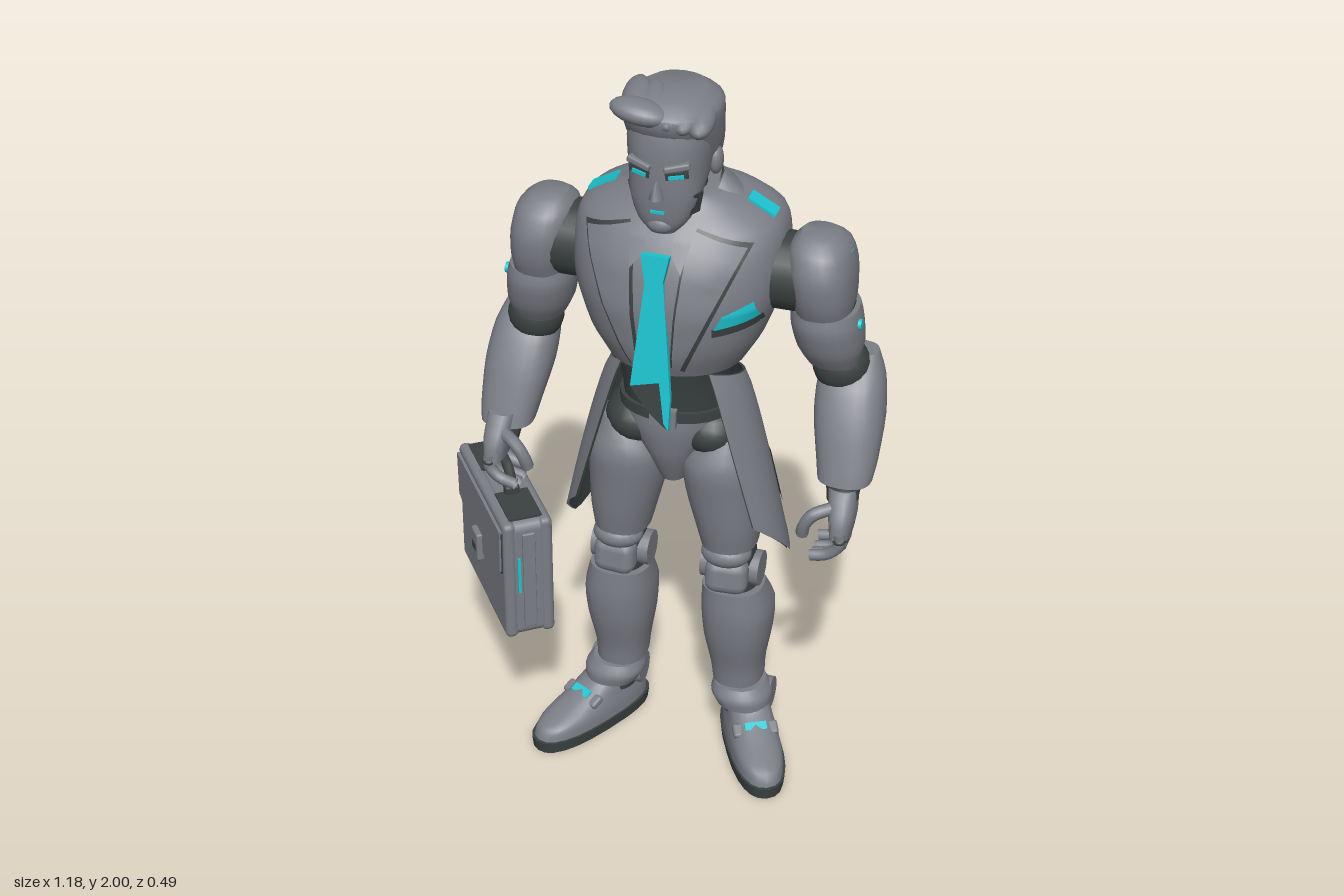
import * as THREE from 'three';
import { toCreasedNormals } from 'three/addons/utils/BufferGeometryUtils.js';
import { RoundedBoxGeometry } from 'three/addons/geometries/RoundedBoxGeometry.js';

const flatColour = (name, color) => Object.assign(new THREE.MeshStandardMaterial({ color, side: THREE.DoubleSide }), { name });
const lerp = THREE.MathUtils.lerp;

export function createModel() {
  const grey = flatColour('armour grey', 0x7b7e86);
  const dark = flatColour('joint dark', 0x3b4242);
  const teal = flatColour('accent teal', 0x1cc6d2);

  const add = (parent, name, geo, mat, pos = [0, 0, 0], rot = [0, 0, 0], scale = [1, 1, 1]) => {
    const m = new THREE.Mesh(geo, mat);
    m.name = name;
    m.position.set(...pos); m.rotation.set(...rot); m.scale.set(...scale);
    parent.add(m);
    return m;
  };
  const group = (parent, name) => {
    const g = new THREE.Group();
    g.name = name; parent.add(g);
    return g;
  };
  // Grid surface from fn(u, v) -> [x, y, z]
  const sheet = (fn, nu, nv) => {
    const g = new THREE.PlaneGeometry(1, 1, nu, nv), p = g.attributes.position;
    for (let i = 0; i < p.count; i++) p.setXYZ(i, ...fn(p.getX(i) + 0.5, 0.5 - p.getY(i)));
    g.computeVertexNormals();
    return g;
  };
  // Closed body through horizontal rings [y, x, z, rx, rz]; pf / pb = squareness of front / back
  const loft = (rings, pf = 2.2, pb = pf, sides = 24) => {
    const curve = f => new THREE.CatmullRomCurve3(rings.map(f), false, 'catmullrom', 0.4);
    const mid = curve(r => new THREE.Vector3(r[1], r[0], r[2]));
    const rad = curve(r => new THREE.Vector3(r[3], r[4], 0));
    const n = (rings.length - 1) * 3, rows = n + 2;
    return toCreasedNormals(sheet((u, v) => {
      const k = Math.round(v * rows), t = THREE.MathUtils.clamp((k - 1) / n, 0, 1);
      const c = mid.getPoint(t), r = rad.getPoint(t), cap = k === 0 || k === rows ? 0 : 1;
      const a = (Math.round(u * sides) % sides) / sides * Math.PI * 2, s = Math.sin(a), q = Math.cos(a);
      const e = 2 / (q > 0 ? pf : pb);
      return [c.x + cap * r.x * Math.sign(s) * Math.abs(s) ** e, c.y, c.z + cap * r.y * Math.sign(q) * Math.abs(q) ** e];
    }, sides, rows), 0.75);
  };
  const ball = new THREE.SphereGeometry(1, 20, 14);
  const box = (x, y, z) => new THREE.BoxGeometry(x, y, z);
  const rbox = (x, y, z, r) => new RoundedBoxGeometry(x, y, z, 2, r);
  const disc = (r, h) => new THREE.CylinderGeometry(r, r, h, 20);
  const tube = (pts, r) => new THREE.TubeGeometry(
    new THREE.CatmullRomCurve3(pts.map(p => new THREE.Vector3(...p))), 10, r, 8);

  const root = new THREE.Group();
  root.name = 'suitedRobot';
  const body = group(root, 'body');
  body.position.x = 0.05;

  // Torso: dark waist, pelvis and jacket
  add(body, 'waist', loft([[1.06, 0, -.04, .135, .11], [1.2, 0, -.035, .148, .125], [1.34, 0, -.03, .2, .15]]), dark);
  add(body, 'pelvis', loft([[.87, 0, -.02, .035, .05], [.95, 0, -.03, .075, .095], [1.04, 0, -.04, .13, .122], [1.1, 0, -.04, .145, .122]]), grey);
  add(body, 'belt', loft([[1.085, 0, -.04, .15, .126], [1.115, 0, -.04, .15, .126]]), dark);
  add(body, 'beltBuckle', box(.07, .05, .02), grey, [0, 1.1, .085]);
  const jacket = [[1.25, 0, -.04, .18, .165], [1.33, 0, -.04, .225, .195], [1.45, 0, -.04, .262, .205],
    [1.56, 0, -.055, .268, .193], [1.63, 0, -.07, .25, .165], [1.68, 0, -.075, .17, .125], [1.71, 0, -.06, .1, .09]];
  add(body, 'jacket', loft(jacket, 2.1, 3.4, 36), grey);
  add(body, 'neck', loft([[1.6, 0, -.04, .09, .08], [1.7, 0, -.04, .07, .062], [1.82, 0, -.035, .07, .062]]), dark);

  // Front surface of the jacket, used to lay thin patches on the chest
  const chest = (x, y) => {
    let i = 0;
    while (i < jacket.length - 2 && y > jacket[i + 1][0]) i++;
    const a = jacket[i], b = jacket[i + 1], t = THREE.MathUtils.clamp((y - a[0]) / (b[0] - a[0]), 0, 1);
    const rx = lerp(a[3], b[3], t);
    return lerp(a[2], b[2], t) + lerp(a[4], b[4], t) * Math.max(0, 1 - Math.abs(x / rx) ** 2.1) ** (1 / 2.1);
  };
  const patch = (name, q, mat, off, parent = body) => add(parent, name, sheet((u, v) => {
    const x = lerp(lerp(q[0][0], q[1][0], u), lerp(q[3][0], q[2][0], u), v);
    const y = lerp(lerp(q[0][1], q[1][1], u), lerp(q[3][1], q[2][1], u), v);
    return [x, y, chest(x, y) + off];
  }, 6, 10), mat);
  patch('pocketSquare', [[.165, 1.452], [.228, 1.475], [.24, 1.425], [.145, 1.412]], teal, .014);
  patch('breastPocket', [[.14, 1.412], [.242, 1.425], [.242, 1.4], [.14, 1.388]], dark, .01);

  const collar = off => sheet((u, v) => {
    const a = lerp(.75, Math.PI * 2 - .75, u), r = lerp(.105, .178, v) + off;
    return [r * Math.sin(a), 1.735 - .068 * v - .1 * Math.max(0, Math.cos(a)), -.06 + .85 * r * Math.cos(a)];
  }, 28, 4);
  add(body, 'collar', collar(0), grey);
  add(body, 'collarLining', collar(-.006), dark);

  // Tie
  const tie = group(body, 'tie');
  tie.position.set(0, 1.58, .138); tie.rotation.x = -.1;
  const plate = (pts, d) => new THREE.ExtrudeGeometry(new THREE.Shape(pts.map(p => new THREE.Vector2(...p))), { depth: d, bevelEnabled: false });
  add(tie, 'tieKnot', plate([[-.036, .02], [.036, .02], [.022, -.05], [-.025, -.05]], .02), teal);
  add(tie, 'tieBlade', plate([[-.025, -.05], [.022, -.05], [.05, -.36], [.048, -.45], [.035, -.43], [.02, -.32], [-.055, -.34]], .014), teal);
  add(tie, 'tieTip', plate([[-.055, -.34], [.02, -.32], [.035, -.43], [.048, -.45], [0, -.41]], .014), dark);

  // Head
  const head = group(body, 'head');
  add(head, 'face', loft([[1.645, 0, .085, .035, .032], [1.68, 0, .077, .066, .052], [1.74, 0, .062, .088, .074],
    [1.8, 0, .025, .098, .114], [1.88, 0, .01, .106, .127], [1.94, 0, .01, .1, .115]], 2.4), grey);
  add(head, 'hair', loft([[1.775, 0, -.045, .098, .08], [1.84, 0, -.025, .112, .108], [1.91, 0, .002, .119, .13],
    [1.955, 0, .01, .117, .132], [1.985, 0, .005, .075, .09]], 2.3), grey);
  for (let i = 0; i < 5; i++)
    add(head, 'hairLock', ball, grey, [-.075 + i * .038, 1.962 - i * .006, .055 - i * .004], [.1, .25, .25], [.04, .034, .1]);
  add(head, 'quiff', ball, grey, [-.05, 1.962, .115], [0, 0, -.15], [.075, .03, .045]);
  add(head, 'nose', new THREE.ConeGeometry(.02, .075, 4), grey, [0, 1.785, .135], [-.2, 0, 0]);
  add(head, 'mouth', box(.035, .007, .008), teal, [0, 1.712, .134]);
  add(head, 'chinPlate', ball, grey, [0, 1.67, .11], [0, 0, 0], [.035, .025, .025]);

  // Everything mirrored: s = 1 is the model's left
  for (const s of [1, -1]) {
    const side = group(body, s > 0 ? 'leftSide' : 'rightSide');
    side.scale.x = s;

    // Face details
    add(side, 'eyeSocket', box(.056, .018, .008), dark, [.046, 1.814, .128], [0, .28, .12]);
    add(side, 'eye', box(.038, .009, .008), teal, [.046, 1.812, .133], [0, .28, .12]);
    add(side, 'brow', rbox(.065, .018, .025, .006), grey, [.046, 1.836, .128], [0, .28, .2]);
    add(side, 'cheekGap', box(.009, .06, .035), dark, [.079, 1.725, .082], [0, -.45, -.2]);
    add(side, 'ear', ball, grey, [.102, 1.8, -.01], [0, 0, 0], [.018, .038, .026]);

    // Lapels and shirt collar
    patch('lapelEdge', [[.068, 1.655], [.215, 1.615], [.07, 1.275], [.038, 1.29]], dark, .009, side);
    patch('lapel', [[.075, 1.65], [.205, 1.61], [.062, 1.285], [.045, 1.295]], grey, .017, side);
    patch('shirtCollar', [[.035, 1.66], [.085, 1.66], [.065, 1.56], [.035, 1.6]], grey, .024, side);
    add(side, 'shoulderStripe', box(.08, .009, .045), teal, [.205, 1.662, -.075], [0, 0, -.5]);

    // Coat tail with lining and a dark patch
    const tail = off => (u, v) => {
      const a = lerp(lerp(.7, .92, v), lerp(3.12, 2.72, v * v), u);
      const hem = u < .45 ? lerp(.8, .64, u / .45) : lerp(.64, .77, (u - .45) / .55);
      const flare = v ** .8;
      return [(lerp(.18 - .02 * u, .305, flare) + off) * Math.sin(a), lerp(1.24 - .13 * u, hem, v),
        -.045 + (lerp(.155, .205, flare) + off) * Math.cos(a)];
    };
    const part = (fn, u0, u1, v0, v1) => sheet((u, v) => fn(lerp(u0, u1, u), lerp(v0, v1, v)), 12, 12);
    add(side, 'coatTail', part(tail(0), 0, 1, 0, 1), grey);
    add(side, 'coatLining', part(tail(-.007), 0, 1, 0, 1), dark);
    add(side, 'coatPatch', part(tail(.004), .54, .76, .5, .8), dark);

    // Arm
    const arm = group(side, 'arm');
    add(arm, 'shoulderJoint', disc(.1, .1), dark, [.27, 1.49, -.075], [0, 0, Math.PI / 2]);
    add(arm, 'shoulderCap', loft([[1.395, .37, -.075, .07, .09], [1.45, .368, -.075, .078, .11], [1.52, .362, -.075, .082, .116],
      [1.58, .355, -.075, .074, .092], [1.612, .35, -.075, .045, .05]], 2.4), grey);
    add(arm, 'shoulderLight', disc(.024, .009), teal, [.413, 1.583, -.075], [0, 0, -.75]);
    add(arm, 'armLight', disc(.014, .009), teal, [.465, 1.375, -.06], [0, 0, Math.PI / 2]);
    add(arm, 'upperArmGap', loft([[1.46, .365, -.08, .072, .09], [1.36, .37, -.08, .08, .095]]), dark);
    add(arm, 'upperArm', loft([[1.41, .372, -.08, .084, .1], [1.37, .376, -.08, .09, .105], [1.3, .385, -.09, .084, .096], [1.25, .392, -.1, .066, .076]]), grey);
    add(arm, 'elbow', ball, dark, [.41, 1.225, -.11], [0, 0, 0], [.074, .075, .072]);
    add(arm, 'forearm', loft([[1.25, .44, -.155, .055, .04], [1.19, .437, -.122, .084, .078], [1.1, .445, -.08, .09, .085],
      [1.0, .455, -.03, .078, .07], [.955, .457, -.008, .07, .062]], 2.5), grey);
    add(arm, 'wrist', loft([[.98, .457, -.005, .05, .045], [.91, .46, .025, .04, .04]]), dark);

    // Hand, the right one lifted to hold the case
    const hand = group(arm, 'hand');
    hand.position.y = s > 0 ? 0 : .05;
    add(hand, 'palm', loft([[.945, .46, .015, .038, .042], [.88, .467, .04, .034, .06], [.825, .468, .055, .026, .058]], 2.6), grey);
    for (let i = 0; i < 4; i++) {
      const z = .008 + i * .031, d = i === 0 || i === 3 ? .014 : 0;
      add(hand, 'finger', tube([[.473, .85, z], [.474, .8 + d, z], [.445, .768 + d, z], [.4, .758 + d, z + .004]], .0155), grey);
      add(hand, 'knuckle', ball, dark, [.474, .815 + d, z], [0, 0, 0], [.018, .01, .018]);
    }
    add(hand, 'thumb', tube([[.45, .9, .06], [.4, .885, .09], [.378, .85, .092], [.372, .82, .085]], .017), grey);

    // Leg
    const leg = group(side, 'leg');
    add(leg, 'hipJoint', ball, dark, [.1, 1.03, -.035], [0, 0, 0], [.088, .075, .105]);
    add(leg, 'thigh', loft([[1.03, .14, -.035, .055, .08], [.95, .127, -.03, .103, .115], [.85, .132, -.035, .102, .112],
      [.75, .143, -.037, .088, .102], [.675, .148, -.037, .074, .088]]), grey);
    add(leg, 'kneeJoint', loft([[.71, .15, -.045, .06, .075], [.6, .155, -.05, .062, .07], [.49, .16, -.055, .07, .075]]), dark);
    add(leg, 'kneePin', disc(.048, .16), grey, [.153, .585, -.05], [0, 0, Math.PI / 2]);
    add(leg, 'kneeCap', rbox(.115, .1, .07, .03), grey, [.155, .592, .015], [-.1, .1, 0]);
    add(leg, 'kneeGuard', ball, grey, [.15, .66, .005], [0, 0, 0], [.068, .04, .055]);
    add(leg, 'shin', loft([[.535, .158, -.045, .082, .08], [.45, .165, -.068, .096, .108], [.36, .165, -.073, .09, .103],
      [.26, .165, -.08, .073, .085], [.2, .167, -.082, .068, .08]], 2.4), grey);
    add(leg, 'calfLight', box(.045, .035, .008), teal, [.165, .33, -.176], [-.15, 0, 0]);
    add(leg, 'ankle', loft([[.22, .17, -.08, .056, .066], [.1, .185, -.075, .056, .066]]), dark);
    add(leg, 'ankleCuff', loft([[.195, .175, -.065, .07, .07], [.165, .182, -.06, .083, .082], [.135, .19, -.06, .076, .08]]), grey);
    add(leg, 'anklePin', disc(.045, .15), grey, [.185, .135, -.095], [0, 0, Math.PI / 2]);

    // Shoe, toe turned out
    const shoe = group(leg, 'shoe');
    shoe.position.set(.235, 0, .005); shoe.rotation.y = .48;
    add(shoe, 'sole', loft([[0, 0, .003, .072, .2], [.034, 0, .003, .076, .204]], 2.4, 2.8), dark);
    add(shoe, 'shoeUpper', loft([[.032, 0, .002, .071, .197], [.065, 0, -.004, .069, .186], [.095, 0, -.038, .062, .132],
      [.13, 0, -.075, .056, .085], [.155, 0, -.085, .05, .068]], 2.4, 2.6), grey);
    add(shoe, 'strap', rbox(.125, .022, .04, .008), grey, [0, .1, .03], [.45, 0, 0]);
    add(shoe, 'shoeLight', box(.06, .008, .024), teal, [0, .114, .035], [.45, 0, 0]);
  }

  // Briefcase
  const bag = group(root, 'briefcase');
  bag.position.set(-.41, .595, .032); bag.rotation.y = -.92;
  add(bag, 'caseBody', rbox(.425, .36, .115, .025), grey);
  for (const s of [1, -1]) {
    add(bag, 'caseRim', rbox(.43, .365, .036, .016), grey, [0, 0, s * .05]);
    add(bag, 'topPanel', box(.13, .008, .09), dark, [s * .125, .182, 0]);
    add(bag, 'endStrap', rbox(.012, .3, .035, .004), grey, [s * .213, 0, 0]);
    add(bag, 'handlePost', rbox(.03, .04, .04, .008), dark, [s * .065, .19, 0]);
  }
  add(bag, 'endLight', box(.006, .11, .008), teal, [.214, .02, .028]);
  const flap = [[-.2, .16], [.2, .16], [.195, .03], [.05, -.02], [-.05, -.02], [-.195, .03]];
  add(bag, 'flapEdge', plate(flap.map(([x, y]) => [x * 1.015, y - .006]), .004), dark, [0, 0, .067]);
  add(bag, 'flap', plate(flap, .009), grey, [0, 0, .067]);
  add(bag, 'latch', rbox(.055, .085, .022, .006), grey, [0, -.005, .08]);
  add(bag, 'latchSlot', box(.03, .02, .006), dark, [0, -.01, .09]);
  add(bag, 'backPanel', box(.33, .2, .008), dark, [0, .03, -.067]);
  add(bag, 'handle', tube([[-.065, .18, 0], [-.06, .235, 0], [0, .255, 0], [.06, .235, 0], [.065, .18, 0]], .014), dark);

  return root;
}
